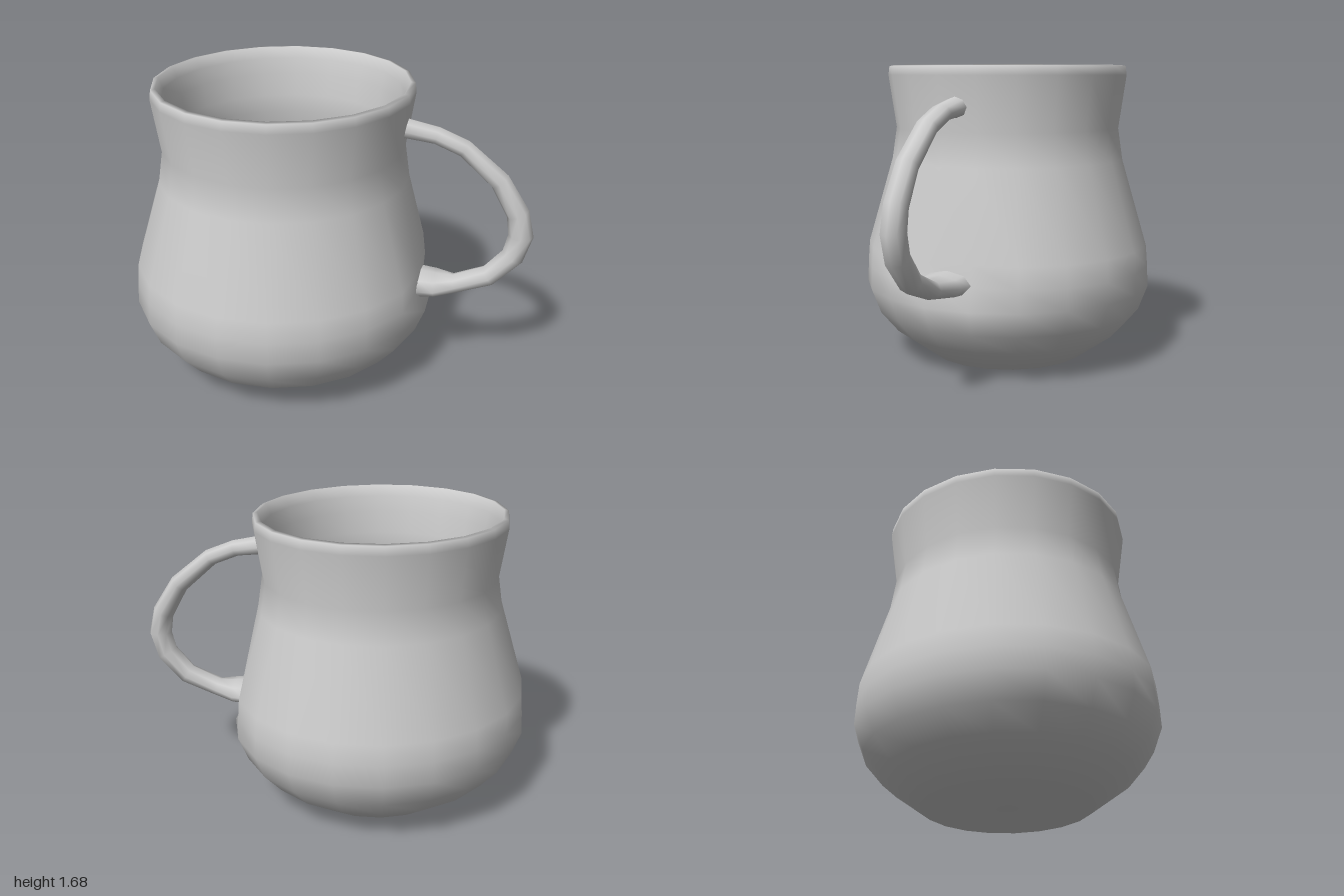
import * as THREE from 'three';
import { mergeVertices } from 'three/addons/utils/BufferGeometryUtils.js';

const SEGMENTS = 20;
const STEP = (Math.PI * 2) / SEGMENTS;
const HANDLE_ANGLE = 0.94; // measured from +z towards +x
const DEPTH = 0.957; // the bowl is slightly narrower front to back

// Outer wall from the base up, over the rim, then down the inside to the floor
const OUTER = [[0, 0], [0.48, 0], [0.71, 0.16], [0.815, 0.28], [0.87, 0.42], [0.865, 0.54], [0.855, 0.66],
  [0.705, 1.15], [0.677, 1.33], [0.722, 1.63], [0.715, 1.68]];
const INNER = [[0.69, 1.685], [0.665, 1.62], [0.645, 1.53], [0.625, 1.4], [0.615, 1.3], [0.645, 1.12],
  [0.765, 0.66], [0.775, 0.43], [0.72, 0.3], [0.6, 0.18], [0.45, 0.1], [0, 0.08]];

function bodyGeometry() {
  const profile = [...OUTER, ...INNER].map(([r, y]) => new THREE.Vector2(r, y));
  // Half a step of offset centres one column of faces on the handle
  const start = HANDLE_ANGLE + STEP / 2 - Math.PI;
  const geo = new THREE.LatheGeometry(profile, SEGMENTS, start, Math.PI * 2);
  const pos = geo.attributes.position;
  const rings = profile.length;

  // Press the outer wall in around the lower handle joint
  const dents = { 5: 0.05, 6: 0.035 };
  for (let i = 0; i < pos.count; i++) {
    const ring = i % rings;
    const angle = start + Math.floor(i / rings) * STEP;
    if (dents[ring] && Math.abs(angle - HANDLE_ANGLE) < STEP * 0.6) {
      const k = 1 - dents[ring] / profile[ring].x;
      pos.setX(i, pos.getX(i) * k);
      pos.setZ(i, pos.getZ(i) * k);
    }
  }

  // Leave an opening in the inner wall where the hollow handle joins
  const openRing = OUTER.length + 2;
  const openColumn = Math.floor((HANDLE_ANGLE - start) / STEP);
  const index = Array.from(geo.index.array);
  const firstFace = (openColumn * (rings - 1) + openRing) * 6;
  index.splice(firstFace, 6);
  geo.setIndex(index);

  geo.deleteAttribute('uv');
  geo.deleteAttribute('normal');
  geo.scale(1, 1, DEPTH);
  const merged = mergeVertices(geo, 1e-4);
  merged.computeVertexNormals();
  return merged;
}

// Handle sections: distance from the bowl axis, height, half width, half thickness
const HANDLE = [[0.61, 1.465, 0.1, 0.085], [0.68, 1.465, 0.065, 0.055], [0.84, 1.44, 0.062, 0.047],
  [0.99, 1.38, 0.062, 0.048], [1.19, 1.21, 0.062, 0.055], [1.3, 1.03, 0.064, 0.062],
  [1.328, 0.9, 0.065, 0.068], [1.295, 0.77, 0.065, 0.064], [1.175, 0.635, 0.064, 0.06],
  [0.99, 0.56, 0.07, 0.052], [0.88, 0.55, 0.13, 0.062], [0.79, 0.55, 0.14, 0.07]];

function handleGeometry() {
  const sides = 8;
  const out = new THREE.Vector3(Math.sin(HANDLE_ANGLE), 0, Math.cos(HANDLE_ANGLE));
  const across = new THREE.Vector3(out.z, 0, -out.x);
  const up = new THREE.Vector3(0, 1, 0);
  const centres = HANDLE.map(([s, y]) => out.clone().multiplyScalar(s).setY(y));
  const positions = [];
  const index = [];
  HANDLE.forEach(([, , width, thick], i) => {
    const prev = centres[Math.max(i - 1, 0)];
    const next = centres[Math.min(i + 1, centres.length - 1)];
    const tangent = next.clone().sub(prev).normalize();
    // Perpendicular to the path within the handle's plane
    const normal = out.clone().multiplyScalar(-tangent.y).addScaledVector(up, tangent.dot(out));
    for (let j = 0; j < sides; j++) {
      const a = (j / sides) * Math.PI * 2;
      const p = centres[i].clone()
        .addScaledVector(normal, Math.cos(a) * thick)
        .addScaledVector(across, Math.sin(a) * width);
      positions.push(p.x, p.y, p.z);
      if (i < HANDLE.length - 1) {
        const k = (j + 1) % sides;
        const a0 = i * sides + j, a1 = i * sides + k;
        index.push(a0, a1, a0 + sides, a1, a1 + sides, a0 + sides);
      }
    }
  });
  const geo = new THREE.BufferGeometry();
  geo.setAttribute('position', new THREE.Float32BufferAttribute(positions, 3));
  geo.setIndex(index);
  geo.computeVertexNormals();
  return geo;
}

export function createModel() {
  const material = new THREE.MeshStandardMaterial({ color: 0xcccccc, side: THREE.DoubleSide });
  const mug = new THREE.Group();
  mug.name = 'mug';
  const body = new THREE.Mesh(bodyGeometry(), material);
  body.name = 'body';
  const handle = new THREE.Mesh(handleGeometry(), material);
  handle.name = 'handle';
  mug.add(body, handle);
  // The handle reaches out to one side, so the bowl sits off centre
  mug.position.set(-0.13, 0, -0.007);
  const model = new THREE.Group();
  model.name = 'model';
  model.add(mug);
  return model;
}
